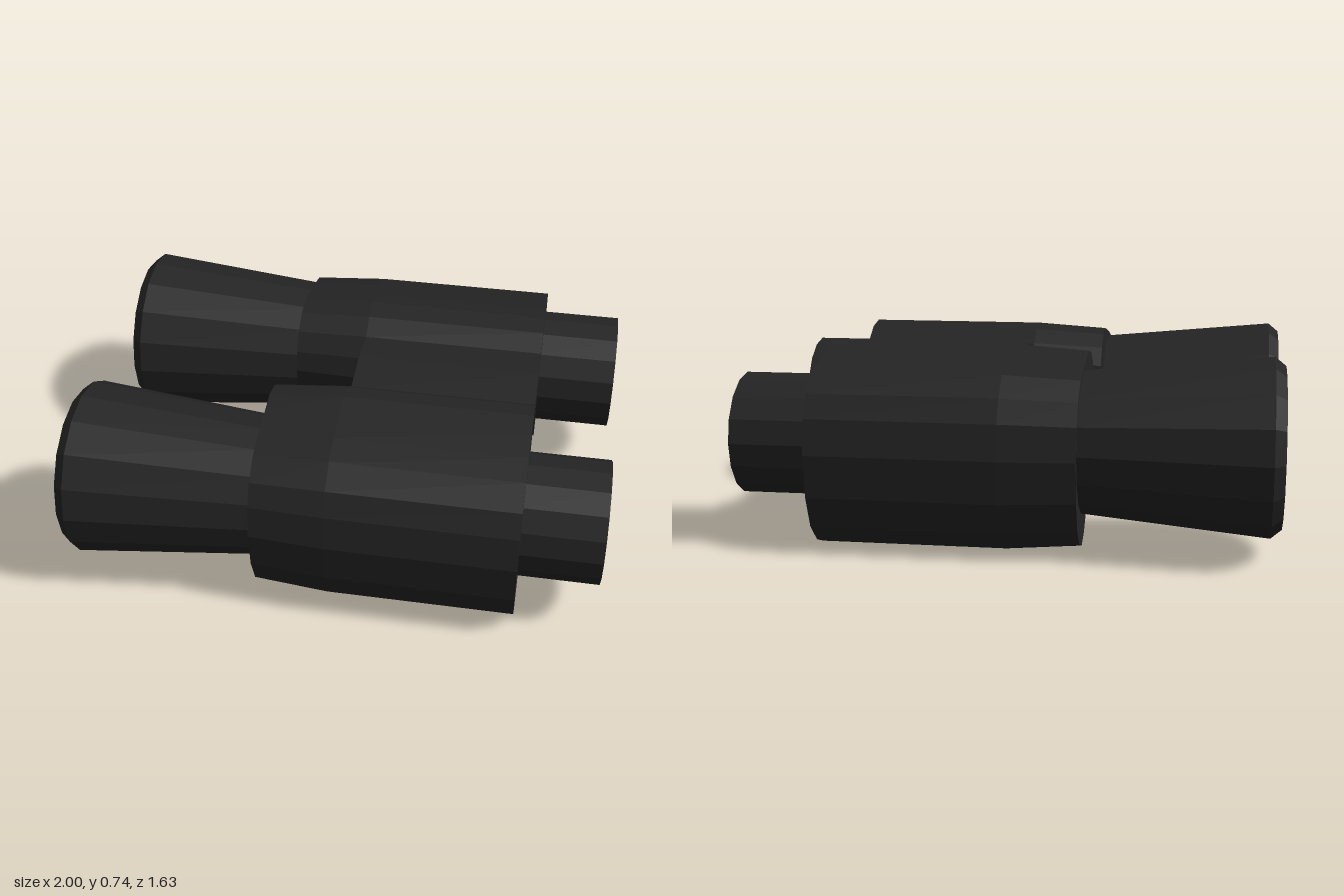
import * as THREE from 'three';

export function createModel() {
  const black = new THREE.MeshStandardMaterial({ color: 0x242424, flatShading: true });
  black.name = 'black rubber';
  const amber = new THREE.MeshStandardMaterial({ color: 0xb8860b, flatShading: true });
  amber.name = 'amber glass';

  const model = new THREE.Group();
  model.name = 'binoculars';
  const AXIS_Y = 0.4, AXIS_Z = 0.483, SIDES = 16;

  function add(parent, name, geometry, material) {
    const mesh = new THREE.Mesh(geometry, material);
    mesh.name = name;
    parent.add(mesh);
    return mesh;
  }

  // Round part about the barrel axis; profile is [x, radius] from low to high x
  function turned(parent, name, profile) {
    const points = profile.map(([x, r]) => new THREE.Vector2(r, x));
    const geometry = new THREE.LatheGeometry(points, SIDES).rotateZ(-Math.PI / 2);
    add(parent, name, geometry, black).position.set(0, AXIS_Y, parent.userData.side * AXIS_Z);
  }

  // Glass disc facing along +x (dir 1) or -x (dir -1)
  function lens(parent, name, x, radius, dir) {
    const geometry = new THREE.CircleGeometry(radius, SIDES).rotateY(dir * Math.PI / 2);
    add(parent, name, geometry, amber).position.set(x, AXIS_Y, parent.userData.side * AXIS_Z);
  }

  // Shape from [z, y] points, ready to be extruded and turned along x
  const section = (points, side = 1) =>
    new THREE.Shape(points.map(([z, y]) => new THREE.Vector2(-z * side, y)));

  // Prism housing cross-section
  const housing = [
    [0.33, 0.735], [0.244, 0.718], [0.171, 0.669], [0.122, 0.596], [0.105, 0.51],
    [0.122, 0.424], [0.165, 0.36], [0.41, 0.085], [0.47, 0.03], [0.55, 0],
    [0.635, 0.03], [0.71, 0.1], [0.76, 0.22], [0.78, 0.38], [0.76, 0.51],
    [0.715, 0.595], [0.63, 0.665], [0.53, 0.693], [0.416, 0.718],
  ];

  function housingGeometry(side) {
    const geometry = new THREE.ExtrudeGeometry(section(housing, side),
      { depth: 2, steps: 2, bevelEnabled: false });
    const p = geometry.attributes.position;
    const stations = [-0.28, 0, 0.7];
    // The objective end narrows slightly
    for (let i = 0; i < p.count; i++) {
      const step = Math.round(p.getZ(i));
      const k = step === 0 ? 0.945 : 1;
      const cx = -side * 0.4425;
      p.setXYZ(i, cx + (p.getX(i) - cx) * k, 0.39 + (p.getY(i) - 0.39) * k, stations[step]);
    }
    geometry.rotateY(Math.PI / 2);
    geometry.computeVertexNormals();
    return geometry;
  }

  // Two mirrored barrels
  for (const side of [1, -1]) {
    const barrel = new THREE.Group();
    barrel.name = side > 0 ? 'frontBarrel' : 'backBarrel';
    barrel.userData.side = side;
    model.add(barrel);

    add(barrel, 'prismHousing', housingGeometry(side), black);
    turned(barrel, 'objectiveTube',
      [[-0.94, 0.235], [-1, 0.26], [-1, 0.297], [-0.96, 0.33], [-0.27, 0.265]]);
    turned(barrel, 'eyepiece', [[0.69, 0.23], [1, 0.23], [1, 0.18], [0.94, 0.153]]);
    lens(barrel, 'objectiveLens', -0.94, 0.237, -1);
    lens(barrel, 'eyepieceLens', 0.94, 0.155, 1);
  }

  // Hinge bridge joining the housings
  const bridge = [[0.18, 0.667], [0, 0.69], [-0.18, 0.667], [-0.18, 0.487],
    [-0.1, 0.505], [0, 0.53], [0.1, 0.505], [0.18, 0.487]];
  const bridgeGeometry = new THREE.ExtrudeGeometry(section(bridge),
    { depth: 0.7, bevelEnabled: false }).rotateY(Math.PI / 2);
  add(model, 'bridge', bridgeGeometry, black);

  return model;
}
